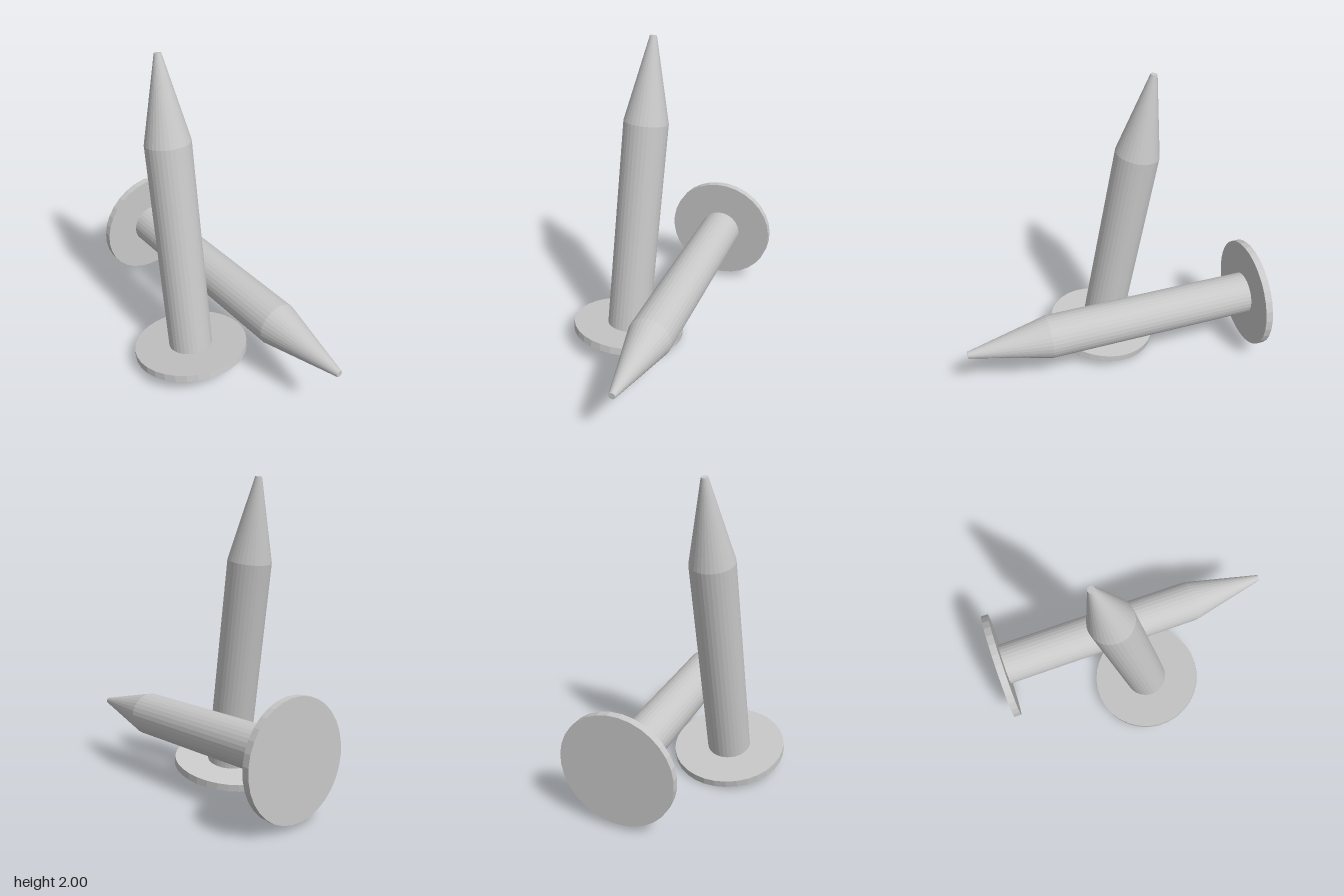
import * as THREE from 'three';

const SIDES = 32;
const HEAD_R = 0.366, HEAD_H = 0.047;
const SHAFT_R = 0.141, TIP_R = 0.021, POINT_LEN = 0.527;

// One nail running from the outer face of its head to its tip
function makeNail(name, headCentre, tip, material) {
  const axis = tip.clone().sub(headCentre);
  const length = axis.length();
  const shaftLen = length - HEAD_H - POINT_LEN;
  const nail = new THREE.Group();
  nail.name = name;

  const addPart = (partName, rTop, rBottom, height, base) => {
    const geometry = new THREE.CylinderGeometry(rTop, rBottom, height, SIDES);
    geometry.translate(0, base + height / 2, 0);
    const mesh = new THREE.Mesh(geometry, material);
    mesh.name = partName;
    nail.add(mesh);
  };
  addPart('head', HEAD_R, HEAD_R, HEAD_H, 0);
  addPart('shaft', SHAFT_R, SHAFT_R, shaftLen, HEAD_H);
  addPart('point', TIP_R, SHAFT_R, POINT_LEN, HEAD_H + shaftLen);

  nail.position.copy(headCentre);
  nail.quaternion.setFromUnitVectors(new THREE.Vector3(0, 1, 0), axis.normalize());
  return nail;
}

export function createModel() {
  const steel = new THREE.MeshStandardMaterial({ color: 0xc8c8c8, flatShading: true });
  steel.name = 'steel grey';

  const model = new THREE.Group();
  model.name = 'nails';
  // Nail standing on its head, leaning slightly
  model.add(makeNail('standingNail',
    new THREE.Vector3(-0.127, 0.069, 0.335), new THREE.Vector3(-0.305, 1.996, 0.015), steel));
  // Nail lying level across it
  model.add(makeNail('lyingNail',
    new THREE.Vector3(-0.5, 0.403, -0.638), new THREE.Vector3(0.76, 0.403, 0.855), steel));
  return model;
}
